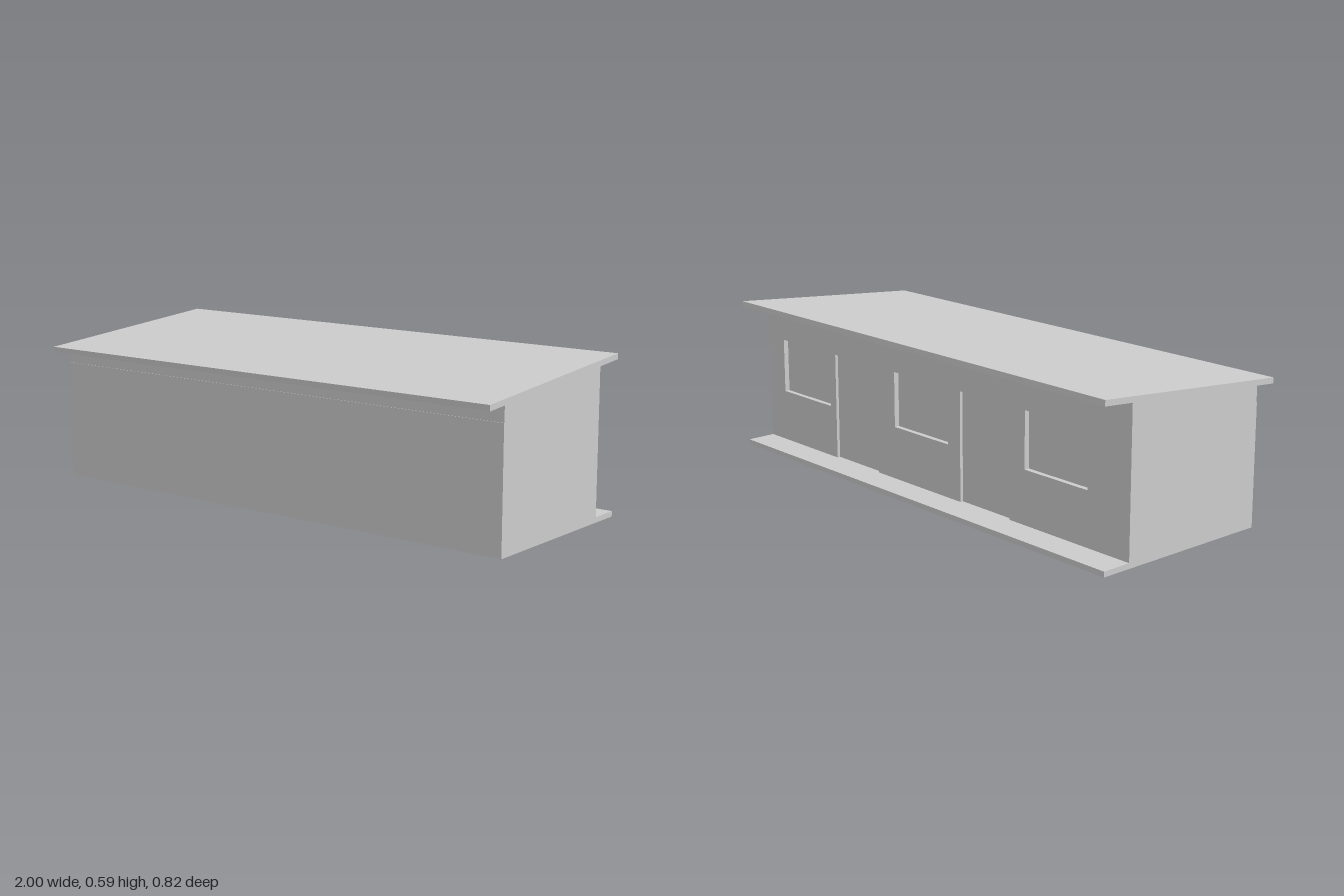
import * as THREE from 'three';

const material = new THREE.MeshStandardMaterial({ color: 0xcccccc, flatShading: true });

function addMesh(group, name, geometry) {
  const mesh = new THREE.Mesh(geometry, material);
  mesh.name = name;
  group.add(mesh);
  return mesh;
}

// Extrude a (z, y) side profile over the full length of the building
function alongLength(points) {
  const shape = new THREE.Shape(points.map(([z, y]) => new THREE.Vector2(z, y)));
  return new THREE.ExtrudeGeometry(shape, { depth: 2, bevelEnabled: false })
    .rotateY(-Math.PI / 2)
    .translate(1, 0, 0);
}

function rectangle(Type, x0, y0, x1, y1) {
  return new Type([[x0, y0], [x1, y0], [x1, y1], [x0, y1]].map(([x, y]) => new THREE.Vector2(x, y)));
}

export function createModel() {
  const group = new THREE.Group();
  group.name = 'longCabin';

  const floorTop = 0.02;
  const openingTop = 0.43;
  const sill = 0.22;
  const backZ = -0.285;
  const recess = 0.02;
  const windows = [[0.6, 0.903], [-0.1, 0.204], [-0.806, -0.502]];
  const doors = [[0.305, 0.564], [-0.426, -0.166]];

  // Floor slab, reaching out behind as a porch
  addMesh(group, 'floorSlab', alongLength([[-0.4, 0], [0.3, 0], [0.3, floorTop], [-0.4, floorTop]]));

  // Main body under the sloping roof; its back face closes the window recesses
  addMesh(group, 'body', alongLength([
    [backZ + recess, 0], [0.326, 0], [0.326, 0.45], [0.324, 0.45], [0.324, 0.508], [backZ + recess, 0.557],
  ]));

  // Back wall with window and door openings
  const wall = rectangle(THREE.Shape, -1, 0, 1, 0.56);
  for (const [a, b] of windows) wall.holes.push(rectangle(THREE.Path, a, sill, b, openingTop));
  for (const [a, b] of doors) wall.holes.push(rectangle(THREE.Path, a, floorTop, b, openingTop));
  addMesh(group, 'backWall',
    new THREE.ExtrudeGeometry(wall, { depth: recess, bevelEnabled: false }).translate(0, 0, backZ));

  // Door leaves set slightly into their openings
  doors.forEach(([a, b], i) => {
    const door = addMesh(group, `door${i + 1}`, new THREE.BoxGeometry(b - a, openingTop - floorTop, 0.01));
    door.position.set((a + b) / 2, (openingTop + floorTop) / 2, backZ + 0.017);
  });

  // Single-pitch roof, rising to the back and overhanging both long sides
  addMesh(group, 'roof', alongLength([[-0.41, 0.567], [0.409, 0.5], [0.41, 0.521], [-0.408, 0.588]]));

  return group;
}
